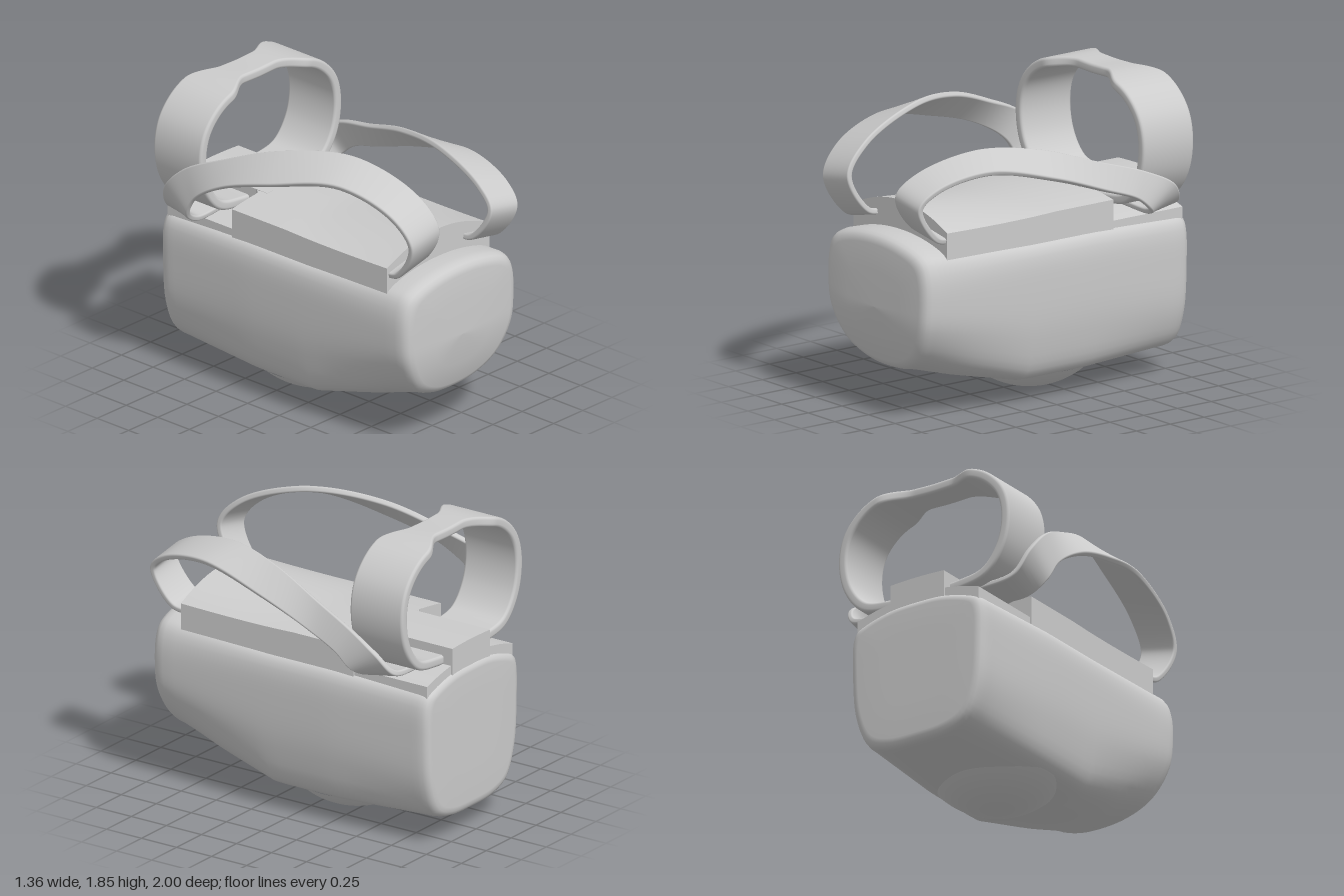
import * as THREE from 'three';

const V = (x, y, z) => new THREE.Vector3(x, y, z);
const CX = 0.02; // body axis
const { lerp, smoothstep, clamp } = THREE.MathUtils;

// Skin a list of equally long rings; loop joins the last ring to the first
function loft(rings, loop = false) {
  const n = rings[0].length, m = rings.length, pos = [], idx = [];
  rings.forEach(r => r.forEach(p => pos.push(p.x, p.y, p.z)));
  for (let i = 0; i < (loop ? m : m - 1); i++) {
    for (let j = 0; j < n; j++) {
      const k = (j + 1) % n, i2 = (i + 1) % m;
      const a = i * n + j, b = i * n + k, c = i2 * n + k, d = i2 * n + j;
      idx.push(a, b, c, a, c, d);
    }
  }
  // turn the faces outward
  const at = i => V().fromArray(pos, i * 3);
  let vol = 0;
  for (let i = 0; i < idx.length; i += 3) vol += at(idx[i]).dot(at(idx[i + 1]).cross(at(idx[i + 2])));
  if (vol < 0) idx.reverse();
  const g = new THREE.BufferGeometry();
  g.setAttribute('position', new THREE.Float32BufferAttribute(pos, 3));
  g.setIndex(idx);
  g.computeVertexNormals();
  return g;
}

// Band of given thickness between two edge curves, with softened corners
function ribbon(edgeA, edgeB, thick, segs, loop = false) {
  const rings = [];
  const count = loop ? segs : segs + 1;
  const r = thick * 0.3;
  for (let i = 0; i < count; i++) {
    const t = i / segs;
    const a = edgeA.getPoint(t), b = edgeB.getPoint(t);
    const mid = a.clone().add(b).multiplyScalar(0.5);
    const across = b.clone().sub(a);
    const hw = across.length() / 2;
    across.normalize();
    const tan = edgeA.getTangent(t).add(edgeB.getTangent(t));
    const nor = across.clone().cross(tan).normalize();
    const ring = [];
    [[1, 1], [-1, 1], [-1, -1], [1, -1]].forEach(([sx, sy], q) => {
      for (let k = 0; k < 4; k++) {
        const ang = (q + k / 3) * Math.PI / 2;
        const u = sx * (hw - r) + Math.cos(ang) * r;
        const v = sy * (thick / 2 - r) + Math.sin(ang) * r;
        ring.push(mid.clone().addScaledVector(across, u).addScaledVector(nor, v));
      }
    });
    rings.push(ring);
  }
  if (!loop) {
    for (const end of [0, rings.length - 1]) {
      const c = rings[end].reduce((s, p) => s.add(p), V()).divideScalar(16);
      const cap = rings[end].map(() => c);
      if (end === 0) rings.unshift(cap); else rings.push(cap);
      if (end === 0) continue;
    }
  }
  return loft(rings, loop);
}

// Half outlines of the body: nose, middle, tail
const NOSE = [[0, 1.10], [0.2, 1.085], [0.38, 1.04], [0.44, 1.0], [0.475, 0.92], [0.485, 0.76], [0.46, 0.58], [0.35, 0.39], [0.19, 0.30], [0, 0.275]];
const MIDDLE = [[0, 1.06], [0.2, 1.05], [0.4, 1.0], [0.45, 0.98], [0.48, 0.92], [0.488, 0.72], [0.465, 0.42], [0.395, 0.19], [0.28, 0.14], [0, 0.138]];
const TAIL = [[0, 1.05], [0.2, 1.04], [0.4, 0.985], [0.44, 0.96], [0.465, 0.9], [0.47, 0.7], [0.445, 0.4], [0.36, 0.21], [0.22, 0.15], [0, 0.138]];

function bodyRing(z, scale) {
  const f = clamp((z - 0.15) / 0.73, 0, 1), b = clamp((-0.3 - z) / 0.6, 0, 1);
  const half = MIDDLE.map(([x, y], i) => [
    lerp(lerp(x, NOSE[i][0], f), TAIL[i][0], b),
    lerp(lerp(y, NOSE[i][1], f), TAIL[i][1], b)]);
  const pts = half.map(([x, y]) => V(x, y, 0));
  for (let i = half.length - 2; i > 0; i--) pts.push(V(-half[i][0], half[i][1], 0));
  const curve = new THREE.CatmullRomCurve3(pts, true, 'centripetal');
  return Array.from({ length: 90 }, (_, i) => {
    const p = curve.getPoint(i / 90);
    const y = 0.66 + (p.y - 0.66) * scale;
    // the nose leans back at the bottom
    const lean = smoothstep(z, 0.5, 0.95) * 0.075 * clamp((0.68 - y) / 0.4, 0, 1) ** 2;
    return V(CX + p.x * scale, y, z - lean);
  });
}

// Block whose top surface follows a height rule
function archedBlock(half, z0, z1, bottom, top) {
  const g = new THREE.BoxGeometry(2 * half, 1, z1 - z0, 20, 1, 20);
  const p = g.attributes.position;
  for (let i = 0; i < p.count; i++) {
    const x = p.getX(i), z = p.getZ(i) + (z0 + z1) / 2;
    p.setXYZ(i, x + CX, p.getY(i) > 0 ? top(x / half, z) : bottom, z);
  }
  g.computeVertexNormals();
  return g;
}

export function createModel() {
  const model = new THREE.Group();
  const material = new THREE.MeshStandardMaterial({ color: 0xcccccc });
  const add = (name, geometry) => {
    const mesh = new THREE.Mesh(geometry, material);
    mesh.name = name;
    model.add(mesh);
    return mesh;
  };

  // Hull with rounded ends
  const stations = [[0.978, 0.001], [0.977, 0.5], [0.972, 0.85], [0.962, 0.92], [0.945, 0.96], [0.92, 0.985], [0.88, 1]];
  for (let z = 0.8; z > -0.9; z -= 0.08) stations.push([z, 1]);
  stations.push([-0.92, 1], [-0.955, 0.99], [-0.98, 0.97], [-0.992, 0.93], [-0.997, 0.88], [-0.998, 0.5], [-0.998, 0.001]);
  add('body', loft(stations.map(([z, s]) => bodyRing(z, s))));

  // Shallow dome underneath
  const dome = add('bellyDome', new THREE.SphereGeometry(0.51, 48, 16, 0, Math.PI * 2, Math.PI - 0.8, 0.8));
  dome.position.set(CX, 0.518, -0.17);

  // Raised top: saddle, lower rear ledge and narrow stem
  add('saddle', archedBlock(0.44, -0.45, 0.78, 0.93, (u, z) => {
    const k = clamp(z / 0.78, 0, 1);
    return 1.2 + 0.07 * k ** 1.3 - lerp(0.04, 0.11, k) * u * u;
  }));
  add('rearLedge', archedBlock(0.43, -0.97, -0.44, 0.9, u => 1.1 - 0.07 * u * u));
  add('rearStem', archedBlock(0.19, -0.98, -0.4, 0.95, u => 1.2 - 0.006 * u * u));
  // Corner fillets where the stem meets the saddle
  for (const s of [-1, 1]) {
    const fillet = new THREE.Shape();
    fillet.moveTo(0, 0);
    fillet.lineTo(0.06 * s, 0);
    fillet.quadraticCurveTo(0, 0, 0, 0.06);
    const g = new THREE.ExtrudeGeometry(fillet, { depth: 0.15, bevelEnabled: false });
    g.rotateX(-Math.PI / 2);
    g.translate(CX + 0.188 * s, 1.04, -0.448);
    add('stemFillet', g);
  }

  // Upright rear loop, narrowed across the top
  const half = [[0, 1.828], [0.25, 1.825], [0.42, 1.765], [0.54, 1.64], [0.578, 1.48], [0.54, 1.29], [0.43, 1.155], [0.25, 1.115], [0, 1.11]];
  const outline = half.concat(half.slice(1, -1).reverse().map(([x, y]) => [-x, y]));
  const hoop = new THREE.CatmullRomCurve3(outline.map(([x, y]) => V(x + CX, y, -0.73)), true, 'centripetal');
  const hoopPts = hoop.getSpacedPoints(160).slice(0, -1);
  const hoopEdge = side => new THREE.CatmullRomCurve3(hoopPts.map(p => {
    const w = p.y > 1.5 ? lerp(0.1, 0.188, smoothstep(Math.abs(p.x - CX), 0.13, 0.34)) : 0.188;
    return V(p.x, p.y, p.z + side * w);
  }), true);
  add('rearLoop', ribbon(hoopEdge(1), hoopEdge(-1), 0.06, 160, true));

  // Twisting side straps, each row: inner edge xyz, outer edge xyz
  const straps = {
    leftStrap: [
      [0.24, 1.14, 0.72, 0.44, 1.10, 0.72], [0.23, 1.17, 0.85, 0.46, 1.13, 0.85],
      [0.24, 1.37, 0.98, 0.47, 1.33, 0.98], [0.27, 1.48, 0.86, 0.50, 1.43, 0.88],
      [0.35, 1.58, 0.48, 0.56, 1.50, 0.55], [0.45, 1.545, 0.10, 0.61, 1.40, 0.10],
      [0.54, 1.44, -0.25, 0.63, 1.28, -0.25], [0.62, 1.35, -0.55, 0.66, 1.20, -0.47],
      [0.65, 1.25, -0.75, 0.65, 1.12, -0.57], [0.58, 1.13, -0.83, 0.55, 1.08, -0.62],
      [0.34, 1.10, -0.84, 0.32, 1.09, -0.62]],
    rightStrap: [
      [-0.20, 1.15, 0.72, -0.40, 1.10, 0.72], [-0.19, 1.18, 0.85, -0.41, 1.13, 0.85],
      [-0.20, 1.40, 0.98, -0.44, 1.35, 0.98], [-0.22, 1.57, 0.84, -0.47, 1.51, 0.86],
      [-0.30, 1.715, 0.42, -0.53, 1.62, 0.50], [-0.46, 1.68, 0.00, -0.63, 1.53, 0.05],
      [-0.57, 1.56, -0.35, -0.665, 1.42, -0.30], [-0.63, 1.44, -0.62, -0.655, 1.28, -0.52],
      [-0.63, 1.28, -0.78, -0.63, 1.15, -0.60], [-0.55, 1.13, -0.83, -0.52, 1.08, -0.62],
      [-0.30, 1.10, -0.84, -0.28, 1.09, -0.62]]
  };
  for (const [name, rows] of Object.entries(straps)) {
    const edge = o => new THREE.CatmullRomCurve3(rows.map(r => V(r[o], r[o + 1], r[o + 2])), false, 'centripetal');
    add(name, ribbon(edge(0), edge(3), 0.036, 120));
  }
  return model;
}
